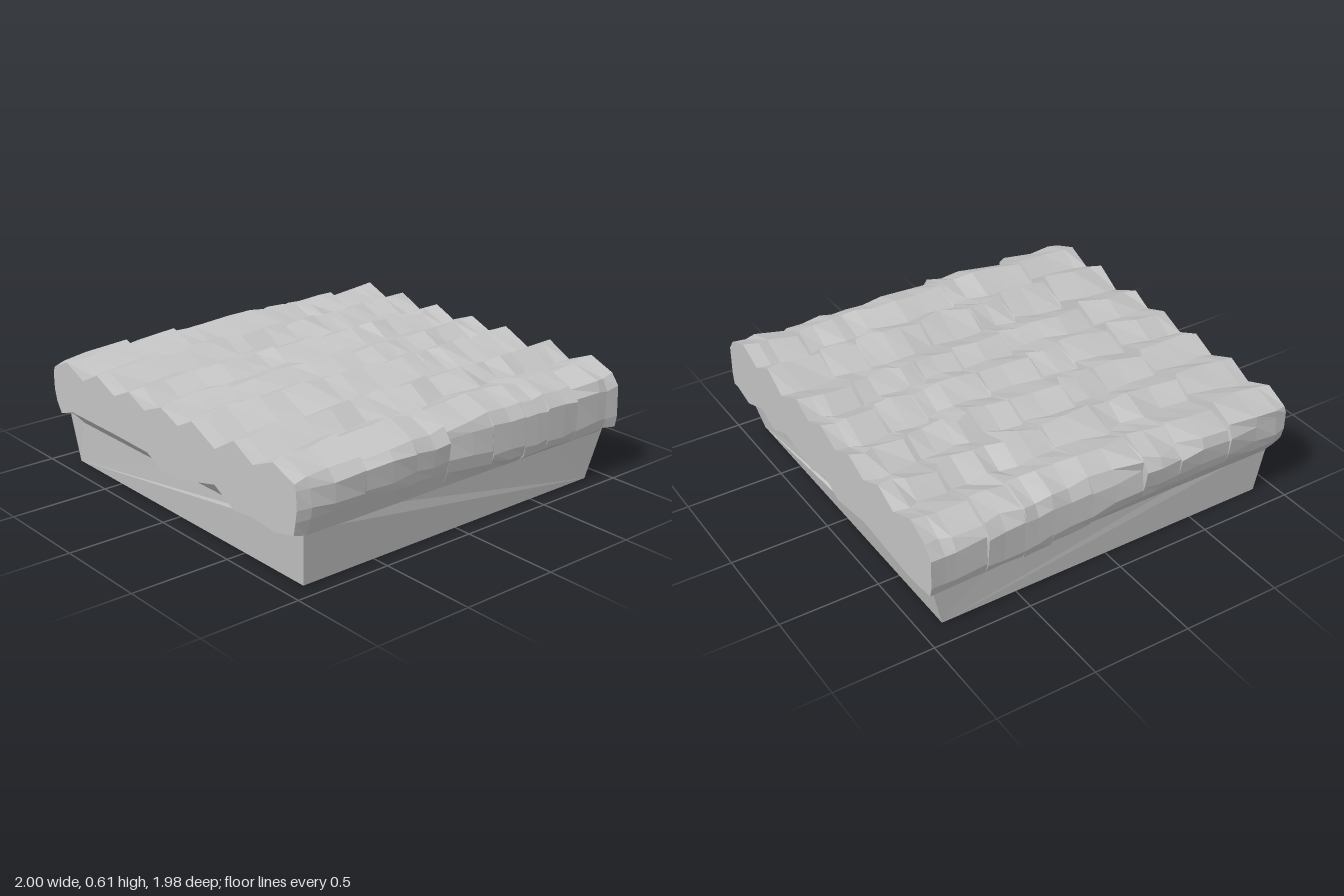
import * as THREE from 'three';

// Small seeded jitter so every rough stone facet is repeatable
function makeJitter(seed) {
  let s = seed;
  return (amount) => {
    s = (s * 16807) % 2147483647;
    return (s / 2147483647 * 2 - 1) * amount;
  };
}

function faceted(pos) {
  const g = new THREE.BufferGeometry();
  g.setAttribute('position', new THREE.Float32BufferAttribute(pos, 3));
  g.computeVertexNormals();
  return g;
}

// Skin a list of equal-length clockwise loops running front to back, with end caps
function loft(loops) {
  const pos = [];
  const tri = (a, b, c) => pos.push(...a, ...b, ...c);
  for (let s = 0; s + 1 < loops.length; s++) {
    const A = loops[s], B = loops[s + 1], n = A.length;
    for (let i = 0; i < n; i++) {
      const j = (i + 1) % n;
      tri(A[i], A[j], B[j]);
      tri(A[i], B[j], B[i]);
    }
  }
  const cap = (loop, front) => {
    const pts = loop.slice().reverse();
    const flat = pts.map((p) => new THREE.Vector2(p[0], p[1]));
    for (const [a, b, c] of THREE.ShapeUtils.triangulateShape(flat, [])) {
      const ccw = THREE.ShapeUtils.area([flat[a], flat[b], flat[c]]) > 0;
      if (ccw === front) tri(pts[a], pts[b], pts[c]);
      else tri(pts[a], pts[c], pts[b]);
    }
  };
  cap(loops[0], true);
  cap(loops[loops.length - 1], false);
  return faceted(pos);
}

// Zigzag of ridges and grooves across the slab: [x, y] from left to right
const RIDGES = [
  [-0.95, 0.505], [-0.83, 0.56], [-0.68, 0.503], [-0.55, 0.565], [-0.41, 0.503],
  [-0.28, 0.56], [-0.15, 0.505], [-0.01, 0.562], [0.115, 0.51], [0.23, 0.565],
  [0.4, 0.488], [0.54, 0.57], [0.67, 0.5], [0.81, 0.558], [0.95, 0.505],
];
// Ragged lower edges of the two end faces, from right to left
const EDGE_X = [0.82, 0.66, 0.53, 0.39, 0.12, -0.02, -0.14, -0.4, -0.8];
const FRONT_EDGE = [0.24, 0.255, 0.24, 0.315, 0.25, 0.24, 0.3, 0.305, 0.305];
const BACK_EDGE = [0.24, 0.3, 0.25, 0.31, 0.26, 0.31, 0.25, 0.29, 0.26];
const ALL = [0, 1, 2, 3, 4, 5, 6, 7];
// Rows of stones: front z, back z, rise at front and back, half width at front and back,
// and the columns that step down at the front of the row
const ROWS = [
  [0.978, 0.62, 0.0, 0.036, 0.962, 0.995, ALL],
  [0.615, 0.33, 0.006, 0.034, 0.985, 0.995, [0, 2, 3, 4, 6, 1, 5, 7]],
  [0.325, 0.13, 0.012, 0.036, 0.99, 0.998, [0, 2, 3, 5]],
  [0.125, -0.155, 0.02, 0.036, 0.965, 0.975, ALL],
  [-0.16, -0.365, 0.018, 0.034, 0.975, 0.98, [1, 2, 3, 4, 5]],
  [-0.37, -0.515, 0.016, 0.034, 0.98, 0.985, [2, 4]],
  [-0.52, -0.71, 0.02, 0.036, 0.985, 0.995, [0, 3, 5]],
  [-0.715, -1.0, 0.008, 0.036, 0.98, 0.992, ALL],
];

// Height of the slab's lower side edge, falling away toward the back
const sideEdge = (z) => 0.335 - 0.065 * THREE.MathUtils.smoothstep(-z, -0.3, 0.6);

function slabGeometry() {
  const jitter = makeJitter(4711);
  const loops = [];
  // One cross-section; t runs from 0 at the front of a row to 1 at its back
  const station = (row, t, edge) => {
    const [z0, z1, h0, h1, w0, w1, steps] = row;
    const z = z0 + (z1 - z0) * t, h = h0 + (h1 - h0) * t, w = w0 + (w1 - w0) * t;
    const previous = loops[loops.length - 1];
    const rough = edge ? 0.2 : 1;
    const low = sideEdge(z);
    const waist = edge ? w : 0.98;
    const inner = edge ? 0.27 : 0.25;
    const loop = [
      [-0.91, inner, z],
      [-waist + 0.015, low + jitter(0.008), z],
      [-waist, low + 0.05 + jitter(0.012), z],
      [-w, 0.475 + jitter(0.01), z],
    ];
    RIDGES.forEach(([x, y], i) => {
      const p = [x + jitter(0.025) * rough, Math.min(y + h + jitter(0.009) * rough, 0.605), z];
      const joined = t === 0 && previous && !steps.includes(i >> 1);
      loop.push(joined ? [previous[i + 4][0], previous[i + 4][1], z] : p);
    });
    loop.push(
      [w, 0.475 + jitter(0.01), z],
      [waist + 0.005, low + 0.05 + jitter(0.012), z],
      [waist - 0.005, low + jitter(0.008), z],
      [0.945, inner, z],
    );
    EDGE_X.forEach((x, i) => loop.push([x, edge ? edge[i] : 0.23, z]));
    loops.push(loop);
  };
  ROWS.forEach((row, r) => {
    const first = r === 0, last = r === ROWS.length - 1;
    station(row, 0, first ? FRONT_EDGE : null);
    if (first) station(row, 0.19, null); // underside slopes in to the base
    station(row, 0.55, null);
    if (last) station(row, 0.74, null);
    station(row, 1, last ? BACK_EDGE : null);
  });
  return loft(loops);
}

// Flared plinth: square foot, with the upper rim tucked up into the slab
function baseGeometry() {
  const foot = [[-0.88, 0, 0.9], [0.91, 0, 0.9], [0.91, 0, -0.89], [-0.88, 0, -0.89]];
  const rims = [
    [[-0.91, 0.28, 0.93], [-0.8, 0.28, 0.915], [0.1, 0.28, 0.915], [0.82, 0.28, 0.92]],
    [[0.95, 0.28, 0.93], [0.94, 0.29, 0.6], [0.94, 0.28, 0.1], [0.94, 0.28, -0.6]],
    [[0.95, 0.28, -0.96], [0.8, 0.28, -0.93], [0, 0.28, -0.92], [-0.75, 0.28, -0.93]],
    [[-0.91, 0.28, -0.96], [-0.905, 0.28, -0.6], [-0.905, 0.28, 0], [-0.905, 0.29, 0.6]],
  ];
  const pos = [];
  for (let k = 0; k < 4; k++) {
    const a = foot[k], b = foot[(k + 1) % 4];
    const rim = [...rims[k], rims[(k + 1) % 4][0]];
    // Each wall fans out from one foot corner; the right wall from its back one
    const fromBack = k === 1;
    pos.push(...a, ...b, ...rim[fromBack ? 0 : 4]);
    for (let i = 0; i < 4; i++) pos.push(...(fromBack ? b : a), ...rim[i + 1], ...rim[i]);
  }
  pos.push(...foot[0], ...foot[2], ...foot[1], ...foot[0], ...foot[3], ...foot[2]);
  return faceted(pos);
}

export function createModel() {
  const stone = new THREE.MeshStandardMaterial({ color: 0xc4c4c4, flatShading: true });
  stone.name = 'grey stone';
  const group = new THREE.Group();
  group.name = 'stoneBlock';
  const slab = new THREE.Mesh(slabGeometry(), stone);
  slab.name = 'cobbledSlab';
  const base = new THREE.Mesh(baseGeometry(), stone);
  base.name = 'stoneBase';
  group.add(slab, base);
  return group;
}
